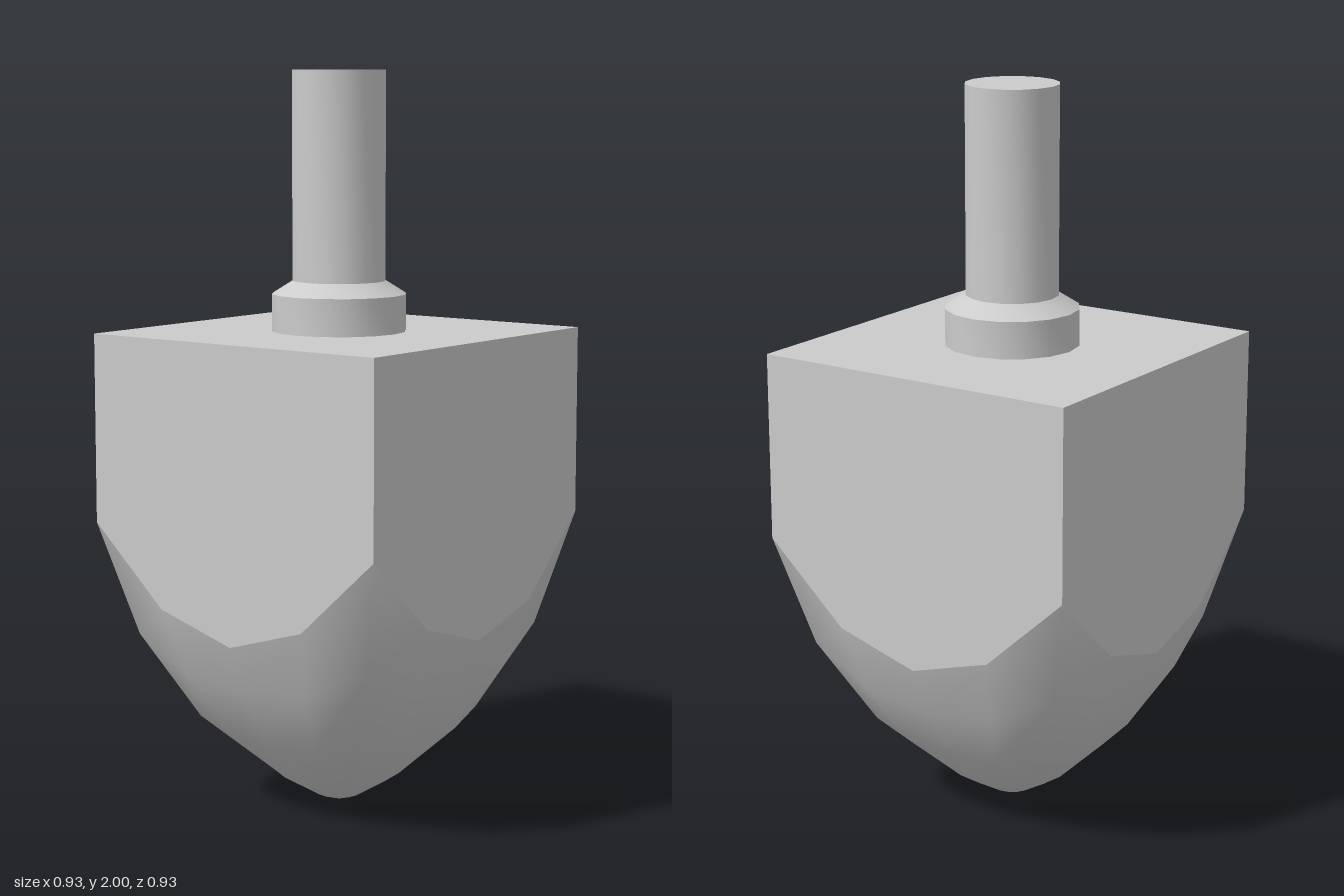
import * as THREE from 'three';
import { toCreasedNormals } from 'three/addons/utils/BufferGeometryUtils.js';

const HALF = 0.465, TOP = 1.305;
const material = new THREE.MeshStandardMaterial({ color: 0xcccccc });

// Rounded-square rings of the point, tip upwards.
// Each: [out, up] at mid-face, [out, sideways, up] between, [out, up] at the corner.
const RINGS = [
  { mid: [0.06, 0.02], between: [0.055, 0.025, 0.02], corner: [0.043, 0.02] },
  { mid: [0.16, 0.08], between: [0.152, 0.07, 0.083], corner: [0.125, 0.088] },
  { mid: [0.297, 0.21], between: [0.292, 0.14, 0.22], corner: [0.27, 0.25] },
  { mid: [0.4, 0.375], between: [0.405, 0.2, 0.4], corner: [0.386, 0.485] },
  { mid: [HALF, 0.515], between: [HALF, 0.235, 0.585], corner: [HALF, 0.795] },
];

// Sixteen points of one ring, mirrored and turned from an eighth
function ringPoints({ mid, between, corner }) {
  const [out, side, up] = between;
  const quarter = [
    new THREE.Vector3(0, mid[1], mid[0]),
    new THREE.Vector3(side, up, out),
    new THREE.Vector3(corner[0], corner[1], corner[0]),
    new THREE.Vector3(out, up, side),
  ];
  const axis = new THREE.Vector3(0, 1, 0);
  return [0, 1, 2, 3].flatMap((k) =>
    quarter.map((p) => p.clone().applyAxisAngle(axis, k * Math.PI / 2)));
}

function pointGeometry() {
  const n = 16;
  const points = [new THREE.Vector3(0, 0, 0), ...RINGS.flatMap(ringPoints)];
  const index = [];
  for (let i = 0; i < n; i++) {
    const j = (i + 1) % n;
    index.push(0, 1 + j, 1 + i);
    for (let r = 0; r < RINGS.length - 1; r++) {
      const low = 1 + r * n, high = low + n;
      index.push(low + i, low + j, high + j, low + i, high + j, high + i);
    }
  }
  const geometry = new THREE.BufferGeometry().setFromPoints(points);
  geometry.setIndex(index);
  geometry.computeVertexNormals();
  return geometry;
}

// Flat side whose lower edge follows the rim of the point
function sideGeometry() {
  const { mid, between, corner } = RINGS[RINGS.length - 1];
  const shape = new THREE.Shape([
    [-HALF, TOP], [-HALF, corner[1]], [-between[1], between[2]], [0, mid[1]],
    [between[1], between[2]], [HALF, corner[1]], [HALF, TOP],
  ].map(([x, y]) => new THREE.Vector2(x, y)));
  return new THREE.ShapeGeometry(shape).translate(0, 0, HALF);
}

export function createModel() {
  const group = new THREE.Group();
  const add = (name, geometry, parent = group) => {
    const mesh = new THREE.Mesh(geometry, material);
    mesh.name = name;
    parent.add(mesh);
    return mesh;
  };

  // Square body
  const body = new THREE.Group();
  body.name = 'body';
  group.add(body);
  const side = sideGeometry();
  ['frontSide', 'leftSide', 'backSide', 'rightSide'].forEach((name, k) => {
    add(name, side, body).rotation.y = k * Math.PI / 2;
  });
  add('topFace', new THREE.PlaneGeometry(2 * HALF, 2 * HALF)
    .rotateX(-Math.PI / 2).translate(0, TOP, 0), body);

  // Spinning point
  add('point', pointGeometry());

  // Handle: chamfered collar and stem in one turned profile
  const profile = [[0.182, TOP], [0.182, 1.405], [0.126, 1.44], [0.126, 2], [0, 2]]
    .map(([x, y]) => new THREE.Vector2(x, y));
  add('handle', toCreasedNormals(new THREE.LatheGeometry(profile, 16), Math.PI / 6));

  return group;
}
